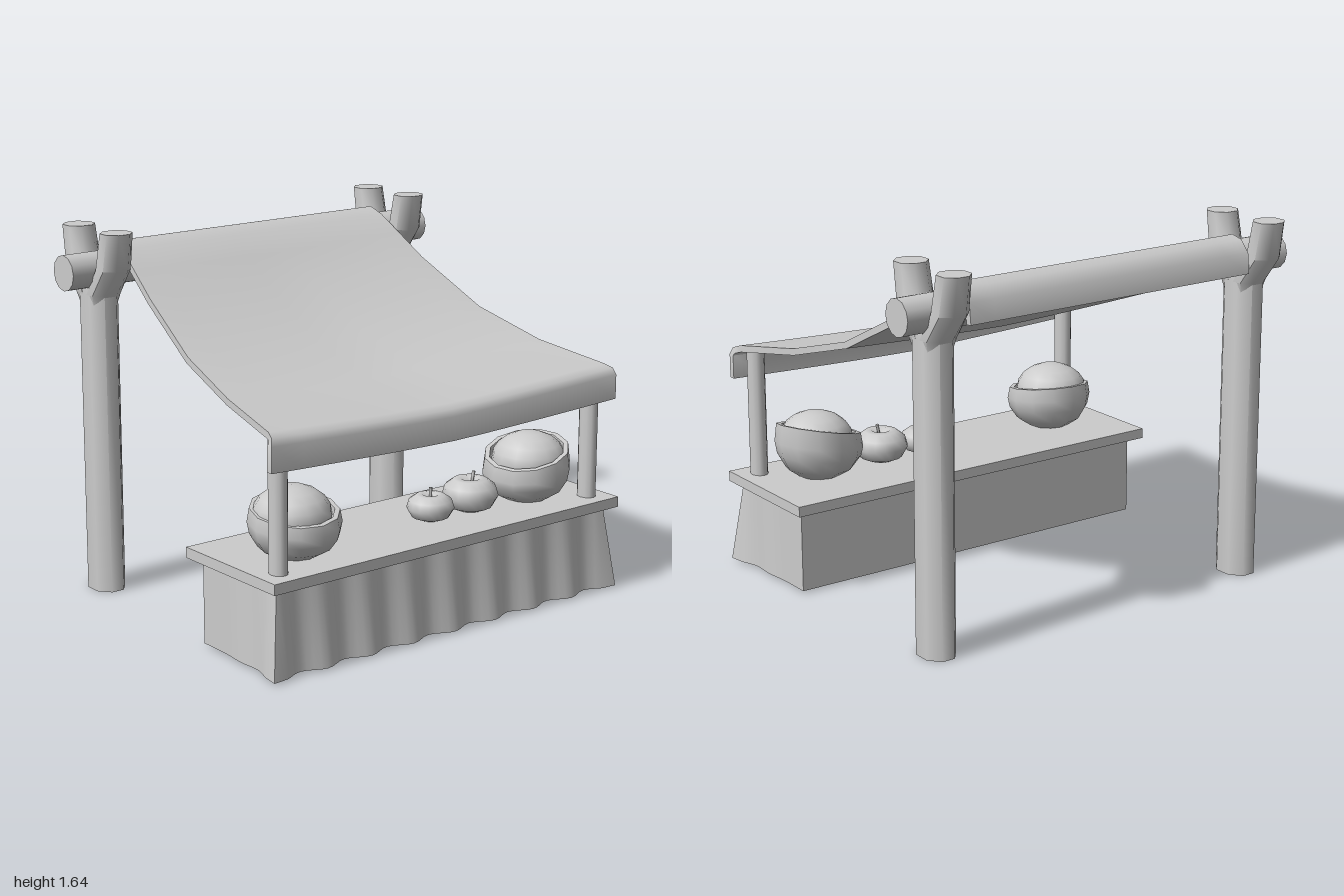
import * as THREE from 'three';
import { toCreasedNormals } from 'three/addons/utils/BufferGeometryUtils.js';

const mat = new THREE.MeshStandardMaterial({ color: 0xcccccc, side: THREE.DoubleSide });

function add(parent, name, geo, x = 0, y = 0, z = 0) {
  const mesh = new THREE.Mesh(geo, mat);
  mesh.name = name;
  mesh.position.set(x, y, z);
  parent.add(mesh);
  return mesh;
}

// Skin a list of rings (equal-length arrays of [x, y, z]).
function loft(rings, closed, crease = 0.9) {
  const n = rings[0].length, index = [];
  for (let i = 0; i < rings.length - 1; i++) {
    for (let j = 0; j < (closed ? n : n - 1); j++) {
      const k = (j + 1) % n, a = i * n + j, b = i * n + k;
      index.push(a, b, a + n, b, b + n, a + n);
    }
  }
  const geo = new THREE.BufferGeometry();
  geo.setAttribute('position', new THREE.Float32BufferAttribute(rings.flat(2), 3));
  geo.setIndex(index);
  return toCreasedNormals(geo, crease);
}

// Eight-sided elliptical ring lying flat
function ring(y, z, rx, rz) {
  return Array.from({ length: 8 }, (_, j) => {
    const a = (j + 0.5) * Math.PI / 4;
    return [rx * Math.cos(a) / 0.96, y, z - rz * Math.sin(a) / 0.96];
  });
}

function lathe(points, segments, crease = 1) {
  return toCreasedNormals(new THREE.LatheGeometry(points.map(p => new THREE.Vector2(...p)), segments), crease);
}

// Post that splits into a front and a back prong
function forkedPost(side) {
  const post = new THREE.Group();
  post.name = 'forkedPost';
  post.position.set(side * 0.825, 0, -0.62);
  add(post, 'postTrunk', loft([
    ring(0, 0, 0, 0), ring(0, 0, 0.077, 0.097), ring(1.36, 0, 0.077, 0.097),
    ring(1.41, 0, 0.07, 0.1), ring(1.41, 0, 0, 0)], true));
  for (const s of [-1, 1]) {
    add(post, s > 0 ? 'frontProng' : 'backProng', loft([
      ring(1.3, s * 0.03, 0.06, 0.05), ring(1.36, s * 0.038, 0.077, 0.06),
      ring(1.48, s * 0.12, 0.075, 0.072), ring(1.645, s * 0.15, 0.07, 0.068),
      ring(1.645, s * 0.15, 0, 0)], true));
  }
  return post;
}

// Sagging cloth: profile rows of [z, y, half width, sag], front hem to back hem
function canopyGeometry() {
  const rows = [
    [0.808, 0.88, 0.955, 0.03], [0.808, 0.99, 0.955, 0.035], [0.795, 1.02, 0.945, 0.035],
    [0.755, 1.035, 0.93, 0.035], [0.4, 1.09, 0.87, 0.035], [0.05, 1.19, 0.82, 0.03],
    [-0.3, 1.375, 0.77, 0.03], [-0.45, 1.475, 0.75, 0.015], [-0.56, 1.548, 0.735, 0],
    [-0.64, 1.575, 0.735, 0], [-0.7, 1.562, 0.735, 0], [-0.745, 1.51, 0.735, 0],
    [-0.755, 1.42, 0.735, 0]];
  const cols = 12, last = rows.length - 1;
  const section = (i, thick) => {
    const [z, y, w, sag] = rows[i];
    const p = rows[Math.max(i - 1, 0)], q = rows[Math.min(i + 1, last)];
    const dz = q[0] - p[0], dy = q[1] - p[1], len = Math.hypot(dz, dy);
    const top = [], under = [];
    for (let j = 0; j <= cols; j++) {
      const u = j / cols * 2 - 1;
      const yy = y - sag * (1 - Math.abs(u) ** 1.3);
      top.push([u * w, yy, z]);
      under.unshift([u * w, yy + thick * dz / len, z - thick * dy / len]);
    }
    return [...top, ...under];
  };
  const sections = rows.map((_, i) => section(i, 0.03));
  return loft([section(0, 0), ...sections, section(last, 0)], true, 1.0);
}

// Pleated cloth round the front and sides of the counter, flaring to the floor
function skirtGeometry() {
  const X = 0.92, Z0 = 0.28, Z1 = 0.785, low = [], high = [];
  const put = (x, z, nx, nz, off) => {
    low.push([x + nx * off, 0.01, z + nz * off]);
    high.push([x, 0.375, z]);
  };
  const sideOffset = t => t * t * (0.03 + 0.015 * Math.cos((1 - t) * 4 * Math.PI));
  const sideSteps = 16, frontSteps = 64;
  for (let i = 0; i < sideSteps; i++) {
    const t = i / sideSteps;
    put(-X, Z0 + (Z1 - Z0) * t, -1, 0, sideOffset(t));
  }
  for (let i = 0; i <= frontSteps; i++) {
    const u = i / frontSteps * 2 - 1;
    const corner = Math.abs(u) === 1 ? Math.sign(u) : 0;
    put(u * X, Z1, corner, 1, 0.027 + 0.02 * Math.cos((u + 1) * 8 * Math.PI));
  }
  for (let i = sideSteps - 1; i >= 0; i--) {
    const t = i / sideSteps;
    put(X, Z0 + (Z1 - Z0) * t, 1, 0, sideOffset(t));
  }
  return loft([low, high], false, 0.9);
}

// Bowl whose rim tilts: height is scaled by position
function filledBowl(x, height, tiltX, tiltZ, fillX) {
  const bowl = new THREE.Group();
  bowl.name = 'filledBowl';
  bowl.position.set(x, 0.43, 0.57);
  const geo = new THREE.LatheGeometry([
    [0, 0], [0.1, 0], [0.155, 0.035], [0.19, 0.09], [0.2, 0.14], [0.19, height],
    [0.168, height], [0.16, 0.12], [0, 0.1]].map(p => new THREE.Vector2(...p)), 12);
  const pos = geo.attributes.position;
  for (let i = 0; i < pos.count; i++) {
    pos.setY(i, pos.getY(i) * (1 + tiltX * pos.getX(i) + tiltZ * pos.getZ(i)));
  }
  add(bowl, 'bowl', toCreasedNormals(geo, 0.9));
  const fill = add(bowl, 'bowlContents', new THREE.SphereGeometry(0.17, 14, 10), fillX, 0.17, -0.005);
  fill.scale.y = 0.76;
  return bowl;
}

// Squat round fruit with a dimple and a leaning stalk
function fruit(x, radius, height, lean) {
  const group = new THREE.Group();
  group.name = 'fruit';
  group.position.set(x, 0.43, 0.565);
  const r = radius, h = height;
  add(group, 'fruitBody', lathe([
    [0, h * 0.08], [r * 0.4, 0], [r * 0.78, h * 0.14], [r, h * 0.48], [r * 0.9, h * 0.78],
    [r * 0.6, h * 0.98], [r * 0.35, h], [r * 0.12, h * 0.87], [0, h * 0.8]], 16, 1.2));
  const stalk = add(group, 'stalk', new THREE.CylinderGeometry(0.008, 0.006, 0.055, 6), lean * 0.02, h + 0.002, 0);
  stalk.rotation.z = -lean * 0.3;
  return group;
}

export function createModel() {
  const model = new THREE.Group();
  model.name = 'marketStall';

  // Frame
  for (const s of [-1, 1]) {
    model.add(forkedPost(s));
    const pole = add(model, 'frontPole', new THREE.CylinderGeometry(0.038, 0.038, 0.585, 12), s * 0.867, 0.7175, 0.73);
    pole.scale.z = 1.2;
  }
  const beam = add(model, 'ridgeBeam',
    toCreasedNormals(new THREE.CylinderGeometry(0.08, 0.08, 2, 12), 0.9), 0, 1.465, -0.625);
  beam.rotation.z = Math.PI / 2;

  // Canopy
  add(model, 'canopy', canopyGeometry());

  // Counter
  add(model, 'counterTop', new THREE.BoxGeometry(1.93, 0.047, 0.615), 0, 0.4065, 0.5275);
  add(model, 'counterSkirt', skirtGeometry());
  add(model, 'counterBack', new THREE.BoxGeometry(1.84, 0.365, 0.006), 0, 0.1925, 0.283);

  // Goods
  model.add(filledBowl(0.645, 0.215, 1.1, -0.5, 0.02));
  model.add(filledBowl(-0.66, 0.195, 0.15, -0.8, -0.01));
  model.add(fruit(0.085, 0.105, 0.115, 0));
  model.add(fruit(0.315, 0.125, 0.145, 0.7));

  return model;
}
